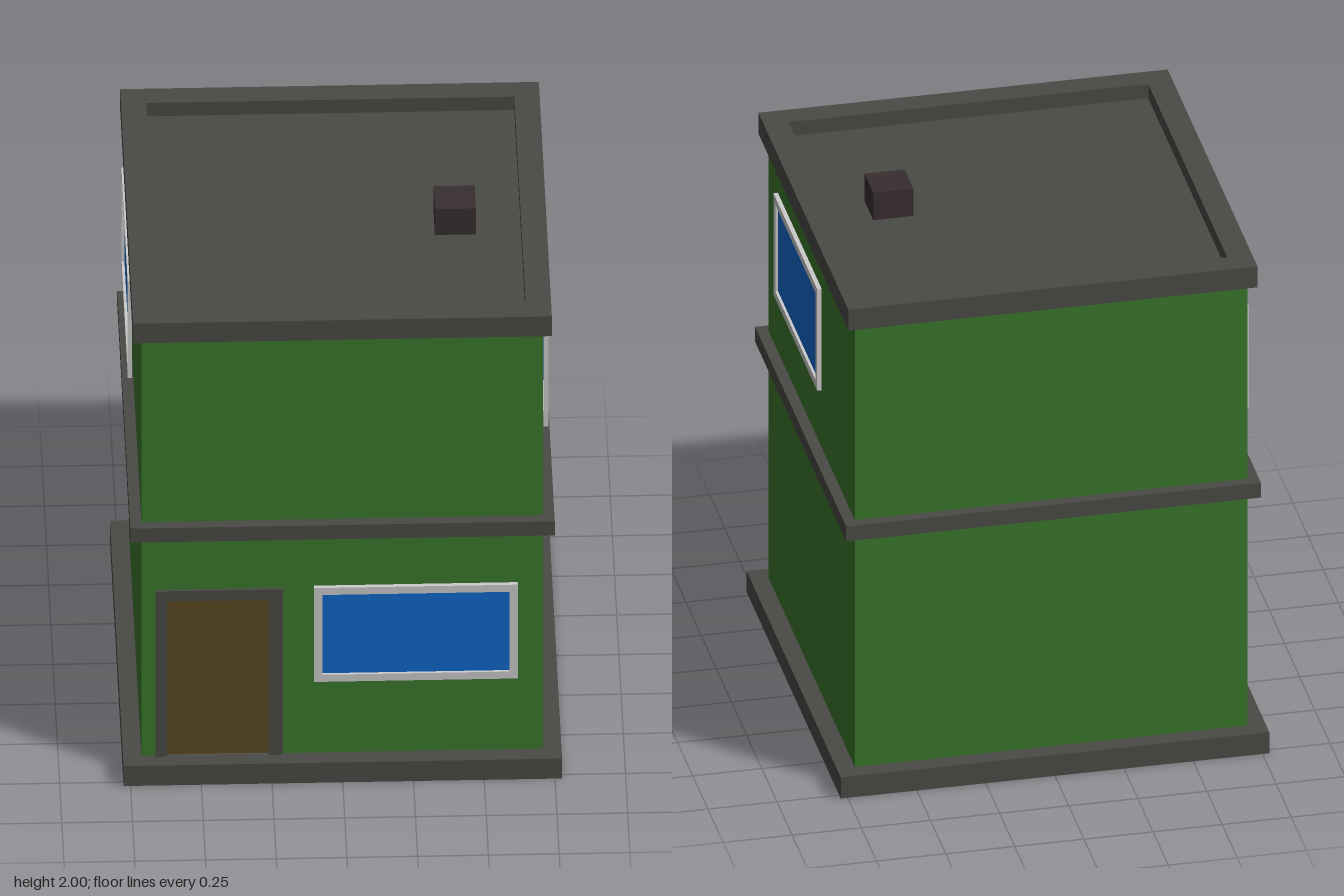
import * as THREE from 'three';

const mat = (name, color, side = THREE.FrontSide) => {
  const m = new THREE.MeshStandardMaterial({ color, side });
  m.name = name;
  return m;
};

// Square shell: sweeps a bottom-to-top [halfWidth, y] profile round four sides
function squareShell(profile, sides = [0, 1, 2, 3]) {
  const corners = [[1, 1], [1, -1], [-1, -1], [-1, 1]];
  const pos = [];
  for (let i = 0; i + 1 < profile.length; i++) {
    const [r0, y0] = profile[i], [r1, y1] = profile[i + 1];
    for (const k of sides) {
      const p = corners[k], q = corners[(k + 1) % 4];
      const a = [p[0] * r0, y0, p[1] * r0], b = [q[0] * r0, y0, q[1] * r0];
      const c = [q[0] * r1, y1, q[1] * r1], d = [p[0] * r1, y1, p[1] * r1];
      pos.push(...a, ...b, ...c, ...a, ...c, ...d);
    }
  }
  const g = new THREE.BufferGeometry();
  g.setAttribute('position', new THREE.Float32BufferAttribute(pos, 3));
  g.computeVertexNormals();
  return g;
}

function rect(Type, x0, y0, x1, y1) {
  return new Type([[x0, y0], [x1, y0], [x1, y1], [x0, y1]].map(p => new THREE.Vector2(...p)));
}

export function createModel() {
  const group = new THREE.Group();
  const green = mat('wall green', 0x3b782c, THREE.DoubleSide);
  const grey = mat('trim grey', 0x4a4a46, THREE.DoubleSide);
  const white = mat('window frame white', 0xcccccc);
  const blue = mat('glass blue', 0x0f68cc, THREE.DoubleSide);
  const brown = mat('door brown', 0x5c4a22);
  const dark = mat('chimney dark', 0x382e30);

  const add = (name, geo, material, parent = group) => {
    const m = new THREE.Mesh(geo, material);
    m.name = name;
    parent.add(m);
    return m;
  };

  // Hollow body with projecting ledges
  const W = 0.71;
  add('base', squareShell([[0.775, 0], [0.775, 0.085], [W, 0.085]]), grey);
  add('lowerWalls', squareShell([[W, 0.085], [W, 1.02]], [0, 1, 2]), green);
  add('middleLedge', squareShell([[W, 1.02], [0.75, 1.02], [0.75, 1.08], [W, 1.08]]), grey);
  add('upperWalls', squareShell([[W, 1.08], [W, 1.863]]), green);
  add('parapet', squareShell([[W, 1.863], [0.74, 1.863], [0.74, 1.947], [0.65, 1.947], [0.65, 1.89]]), grey);
  add('roofDeck', new THREE.PlaneGeometry(1.3, 1.3).rotateX(-Math.PI / 2).translate(0, 1.89, 0), grey);

  // Front wall with a doorway
  const front = rect(THREE.Shape, -W, 0.085, W, 1.02);
  front.holes.push(rect(THREE.Path, -0.655, 0.085001, -0.215, 0.785));
  add('frontWall', new THREE.ShapeGeometry(front).translate(0, 0, W), green);

  // Door and its three-sided surround
  const surround = new THREE.Shape([
    [-0.66, 0.085], [-0.62, 0.085], [-0.62, 0.747], [-0.26, 0.747],
    [-0.26, 0.085], [-0.21, 0.085], [-0.21, 0.79], [-0.66, 0.79],
  ].map(p => new THREE.Vector2(...p)));
  add('doorFrame', new THREE.ExtrudeGeometry(surround, { depth: 0.03, bevelEnabled: false }).translate(0, 0, 0.69), grey);
  add('door', new THREE.BoxGeometry(0.36, 0.662, 0.01).translate(-0.44, 0.416, 0.702), brown);

  // Windows, built facing +z and then turned to their wall
  function addWindow(name, w, h, x, y, z, turn) {
    const win = new THREE.Group();
    win.name = name;
    const t = 0.03, a = w / 2, b = h / 2;
    const shape = rect(THREE.Shape, -a, -b, a, b);
    shape.holes.push(rect(THREE.Path, -a + t, -b + t, a - t, b - t));
    add(name + 'Frame', new THREE.ExtrudeGeometry(shape, { depth: 0.016, bevelEnabled: false }), white, win);
    add(name + 'Glass', new THREE.PlaneGeometry(w - 2 * t, h - 2 * t).translate(0, 0, 0.006), blue, win);
    win.position.set(x, y, z);
    win.rotation.y = turn;
    group.add(win);
  }
  addWindow('frontWindow', 0.72, 0.4, 0.26, 0.6, 0.715, 0);
  addWindow('leftWindow', 0.72, 0.41, 0.718, 1.535, 0.16, Math.PI / 2);
  addWindow('rightWindow', 0.72, 0.41, -0.724, 1.505, -0.235, -Math.PI / 2);

  // Chimney on the sunken roof
  add('chimney', new THREE.BoxGeometry(0.145, 0.11, 0.145).translate(0.418, 1.945, 0.057), dark);

  return group;
}
